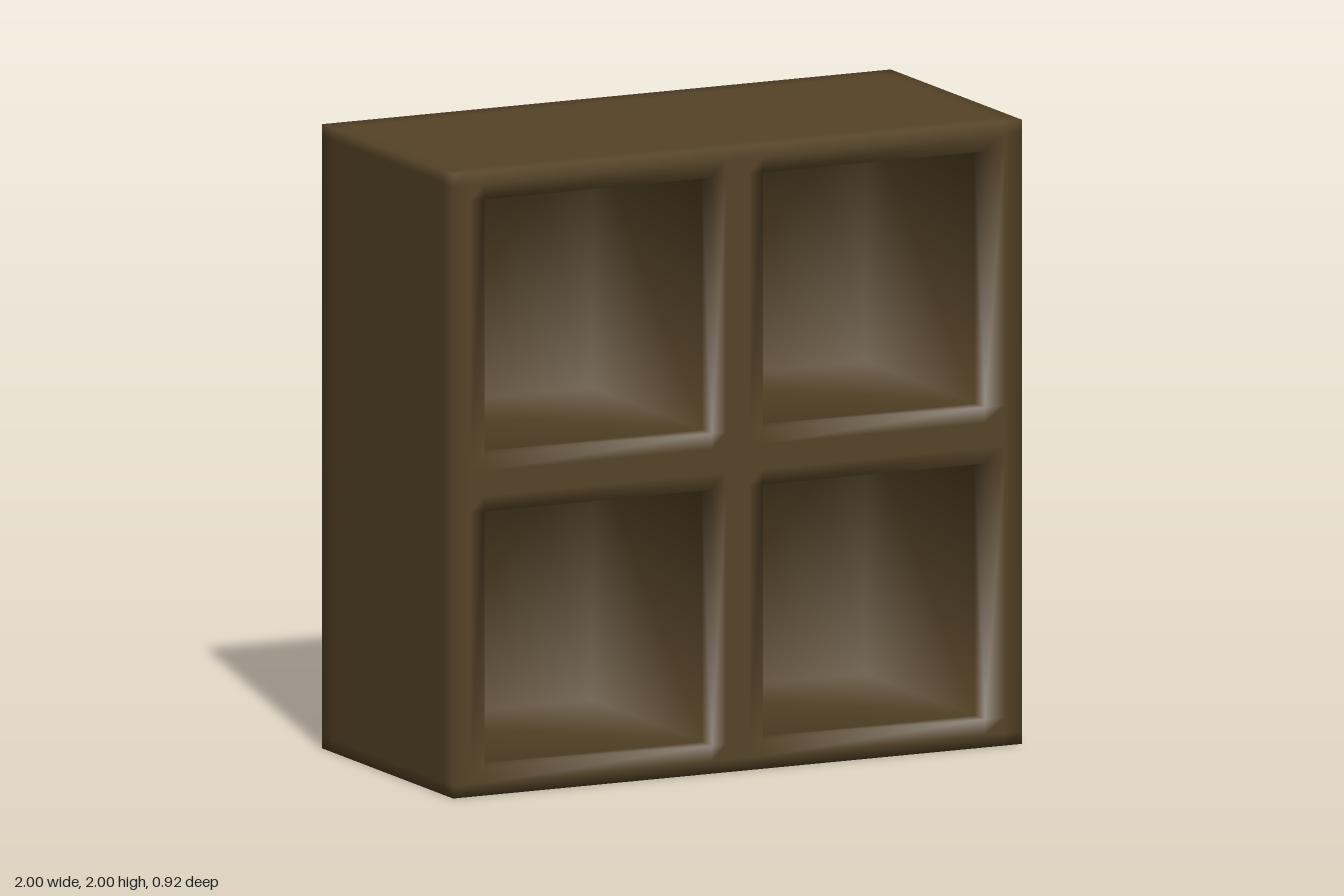
import * as THREE from 'three';
import { mergeVertices } from 'three/addons/utils/BufferGeometryUtils.js';

// Grid lines: outer edges, narrow edge bands, and the sides of the four openings
const GRID = [
  [-1, -0.94, -0.89, -0.09, -0.04, 0.04, 0.09, 0.87, 0.94, 1],
  [0, 0.04, 0.09, 0.91, 0.96, 1.04, 1.09, 1.91, 1.96, 2],
  [-0.46, -0.38, 0.39, 0.46],
];
const OPEN = [2, 6]; // columns and rows that hold a compartment

// A cell is solid unless it lies outside the block or inside a compartment
function isSolid([i, j, k]) {
  const cell = [i, j, k];
  if (cell.some((c, a) => c < 0 || c >= GRID[a].length - 1)) return false;
  return !(OPEN.includes(i) && OPEN.includes(j) && k > 0);
}

// Skin the solid cells with shared corners so the edges shade softly
function shelfGeometry() {
  const points = [];
  const addFace = (cell, axis, side) => {
    const u = (axis + 1) % 3, v = (axis + 2) % 3;
    const corner = (du, dv) => {
      const n = [...cell];
      n[axis] += side > 0 ? 1 : 0;
      n[u] += du;
      n[v] += dv;
      return n.map((c, a) => GRID[a][c]);
    };
    const q = [corner(0, 0), corner(1, 0), corner(1, 1), corner(0, 1)];
    if (side < 0) q.reverse();
    for (const c of [0, 1, 2, 0, 2, 3]) points.push(...q[c]);
  };
  for (let i = 0; i < GRID[0].length - 1; i++)
    for (let j = 0; j < GRID[1].length - 1; j++)
      for (let k = 0; k < GRID[2].length - 1; k++) {
        const cell = [i, j, k];
        if (!isSolid(cell)) continue;
        for (let axis = 0; axis < 3; axis++)
          for (const side of [-1, 1]) {
            const next = [...cell];
            next[axis] += side;
            if (!isSolid(next)) addFace(cell, axis, side);
          }
      }
  const g = new THREE.BufferGeometry();
  g.setAttribute('position', new THREE.Float32BufferAttribute(points, 3));
  const merged = mergeVertices(g);
  merged.computeVertexNormals();
  return merged;
}

export function createModel() {
  const group = new THREE.Group();
  group.name = 'cubeShelf';
  const wood = new THREE.MeshStandardMaterial({ color: 0x554327 });
  wood.name = 'dark wood';

  // Frame, dividers and back panel in one piece
  const body = new THREE.Mesh(shelfGeometry(), wood);
  body.name = 'shelfBody';
  group.add(body);
  return group;
}
